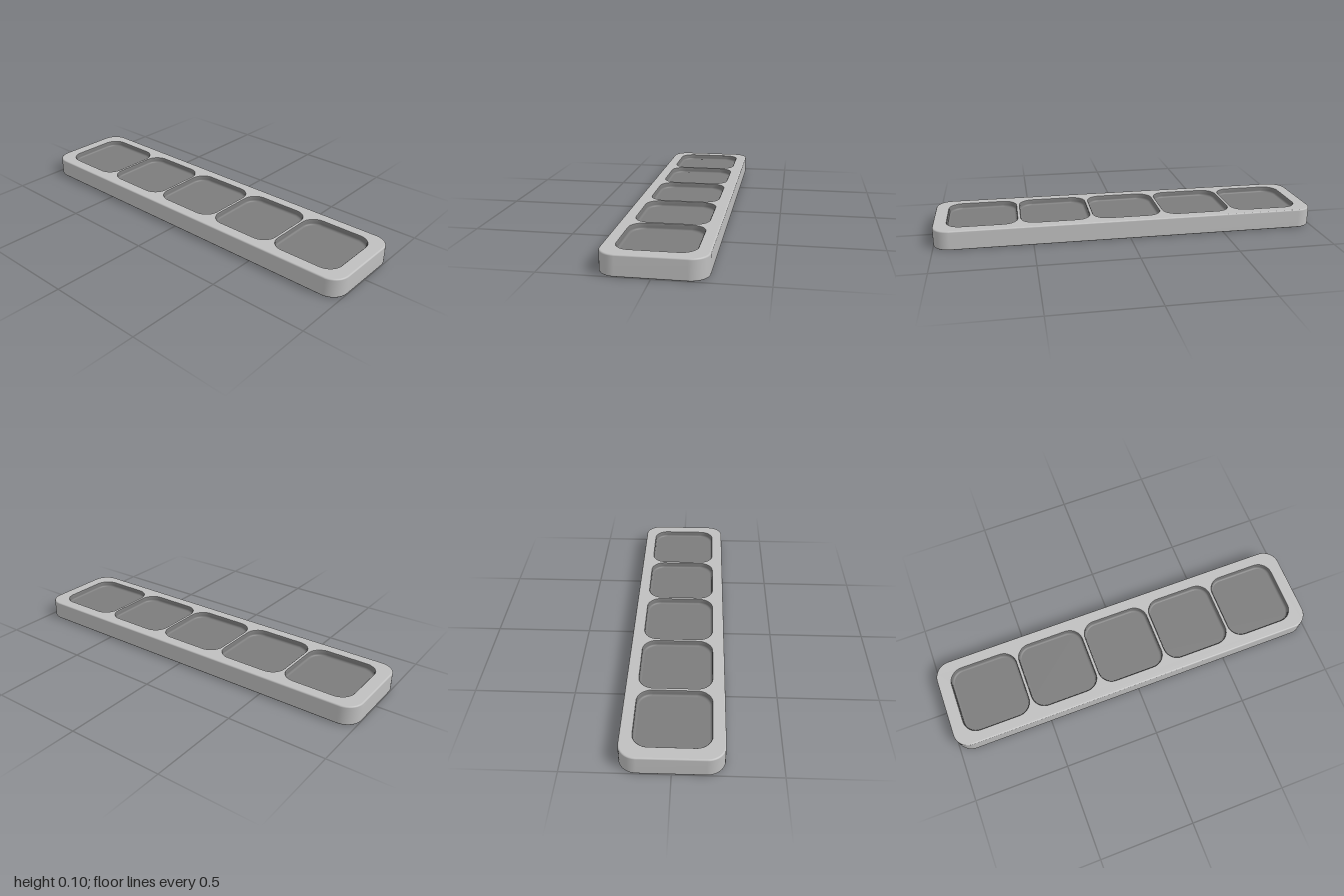
import * as THREE from 'three';

const W = 2, D = 0.48, H = 0.1, R = 0.085;          // tray size and corner radius
const PW = 0.362, PR = 0.075, PITCH = 0.376;         // pocket size, corner radius, spacing
const FLOOR = 0.07;                                  // height of the pocket floors

// Rounded rectangle outline, counter-clockwise, shrunk by inset
function outline(w, d, r, inset, cx = 0) {
  const pts = [], n = 10, q = r - inset;
  const corners = [[1, 1], [-1, 1], [-1, -1], [1, -1]];
  corners.forEach(([sx, sy], c) => {
    for (let i = 0; i <= n; i++) {
      const a = (c + i / n) * Math.PI / 2;
      pts.push(new THREE.Vector2(
        cx + sx * (w / 2 - r) + q * Math.cos(a),
        sy * (d / 2 - r) + q * Math.sin(a)));
    }
  });
  return pts;
}

// Skin through stacked outlines; profile holds [inset, y] pairs.
// Rising profiles face outwards, falling ones inwards.
function skin(w, d, r, profile) {
  const pos = [], idx = [];
  let n = 0;
  for (const [inset, y] of profile) {
    const ring = outline(w, d, r, inset);
    n = ring.length;
    ring.forEach(p => pos.push(p.x, y, -p.y));
  }
  for (let k = 0; k < profile.length - 1; k++) {
    for (let i = 0; i < n; i++) {
      const a = k * n + i, b = k * n + (i + 1) % n;
      idx.push(a, b, b + n, a, b + n, a + n);
    }
  }
  const g = new THREE.BufferGeometry();
  g.setAttribute('position', new THREE.Float32BufferAttribute(pos, 3));
  g.setIndex(idx);
  g.computeVertexNormals();
  return g;
}

// Flat horizontal face at height y, facing up or down
function face(points, y, holes = [], down = false) {
  const shape = new THREE.Shape(points);
  holes.forEach(h => shape.holes.push(new THREE.Path(h)));
  const g = new THREE.ShapeGeometry(shape);
  g.rotateX(down ? Math.PI / 2 : -Math.PI / 2);
  g.translate(0, y, 0);
  return g;
}

export function createModel() {
  const tray = new THREE.Group();
  tray.name = 'tray';
  const bodyMat = new THREE.MeshStandardMaterial({ color: 0xbfbfbf });
  bodyMat.name = 'light grey';
  const pocketMat = new THREE.MeshStandardMaterial({ color: 0x7c7c7c });
  pocketMat.name = 'dark grey';

  function add(name, geometry, material, parent = tray) {
    const mesh = new THREE.Mesh(geometry, material);
    mesh.name = name;
    parent.add(mesh);
  }

  // Outer wall with softly rounded top and bottom edges
  const e = 0.007, outer = [];
  for (let i = 0; i <= 4; i++) {
    const a = i / 4 * Math.PI / 2;
    outer.push([e * (1 - Math.sin(a)), e * (1 - Math.cos(a))]);
  }
  outer.push(...outer.map(([s, y]) => [s, H - y]).reverse());
  add('outerWall', skin(W, D, R, outer), bodyMat);

  // Underside and rim
  const centres = [-2, -1, 0, 1, 2].map(i => i * PITCH);
  add('underside', face(outline(W, D, R, e), 0, [], true), bodyMat);
  add('rim', face(outline(W, D, R, e), H, centres.map(x => outline(PW, PW, PR, 0, x))), bodyMat);

  // Five shallow pockets with filleted floors
  const f = 0.01, inner = [[0, H], [0.003, H - 0.003]];
  for (let i = 0; i <= 4; i++) {
    const a = i / 4 * Math.PI / 2;
    inner.push([0.003 + f * (1 - Math.cos(a)), FLOOR + f * (1 - Math.sin(a))]);
  }
  const wallGeo = skin(PW, PW, PR, inner);
  const floorGeo = face(outline(PW, PW, PR, 0.003 + f), FLOOR);
  centres.forEach((x, i) => {
    const pocket = new THREE.Group();
    pocket.name = 'pocket' + (i + 1);
    pocket.position.x = x;
    add('pocketWall', wallGeo, pocketMat, pocket);
    add('pocketFloor', floorGeo, pocketMat, pocket);
    tray.add(pocket);
  });
  return tray;
}
